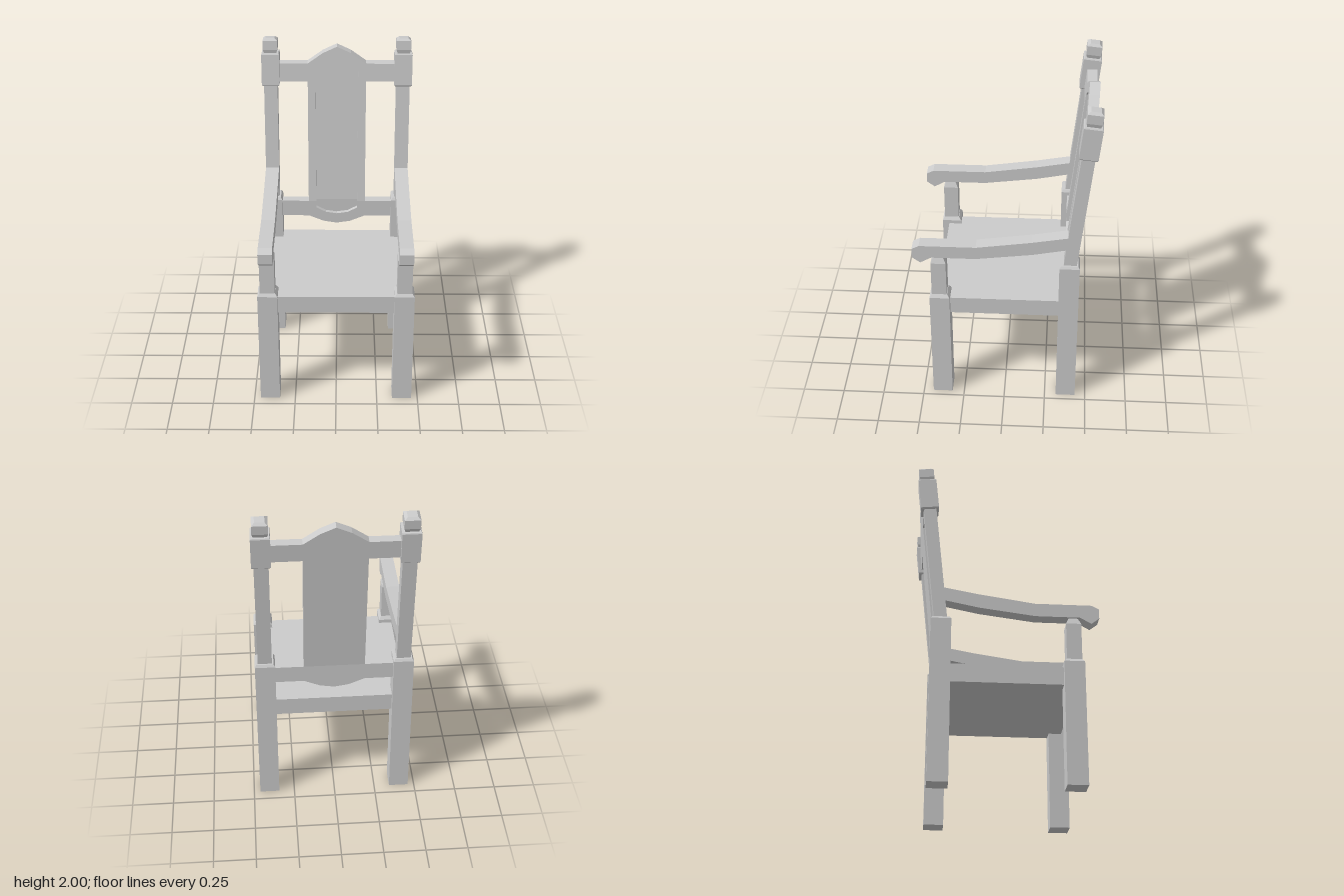
import * as THREE from 'three';

const material = new THREE.MeshStandardMaterial({ color: 0xcccccc, flatShading: true });

function add(parent, name, geometry) {
  const mesh = new THREE.Mesh(geometry, material);
  mesh.name = name;
  parent.add(mesh);
  return mesh;
}

// Square turned piece: levels are [height, width], closed at both ends
function squarePost(levels, depthScale = 1) {
  const pts = levels.map(([y, w]) => new THREE.Vector2(w / Math.SQRT2, y));
  pts.unshift(new THREE.Vector2(0, levels[0][0]));
  pts.push(new THREE.Vector2(0, levels[levels.length - 1][0]));
  const geo = new THREE.LatheGeometry(pts, 4, Math.PI / 4).toNonIndexed();
  geo.scale(1, 1, depthScale);
  geo.computeVertexNormals();
  return geo;
}

const shapeOf = (pts) => new THREE.Shape(pts.map(([x, y]) => new THREE.Vector2(x, y)));

// Mirror a half outline that runs from the right side toward the centre
const mirrored = (half) => [...half, ...half.filter(([x]) => x > 0).reverse().map(([x, y]) => [-x, y])];

// The back stands upright up to BEND, then leans backward
const BEND = 0.952, LEAN = 0.106, BACK = -0.413, THICK = 0.06, RECESS = 0.027;
function backPiece(outline, depth) {
  const geo = new THREE.ExtrudeGeometry(shapeOf(outline), { depth, bevelEnabled: false });
  const p = geo.attributes.position;
  for (let i = 0; i < p.count; i++) {
    p.setZ(i, p.getZ(i) + BACK - LEAN * Math.max(0, p.getY(i) - BEND));
  }
  geo.computeVertexNormals();
  return geo;
}

function createBack() {
  const back = new THREE.Group();
  back.name = 'back';
  const lowArc = [[0.13, 0.905], [0.07, 0.873], [0, 0.862]];
  const highArc = [[0.13, 1.794], [0.07, 1.84], [0, 1.878]];
  const across = (half) => mirrored(half);

  // Lower rail with the curved foot of the frame
  add(back, 'lowerRail', backPiece([
    ...mirrored([[0.38, BEND], [0.38, 0.847], [0.178, 0.847], [0.085, 0.808], [0, 0.794]]),
    [-0.13, BEND], ...across(lowArc).reverse(), [0.13, BEND],
  ], THICK));

  // Upper frame: two stiles, top rail and arched crest
  add(back, 'upperFrame', backPiece([
    [0.13, BEND], [0.178, BEND], [0.178, 1.732],
    ...mirrored([[0.38, 1.732], [0.38, 1.843], [0.178, 1.843], [0.085, 1.908], [0, 1.947]]),
    [-0.178, 1.732], [-0.178, BEND], [-0.13, BEND], ...across(highArc).reverse(),
  ], THICK));

  // Recessed panel, flush with the frame at the rear
  add(back, 'panelLower', backPiece([[0.13, BEND], ...across(lowArc), [-0.13, BEND]], THICK - RECESS));
  add(back, 'panelUpper', backPiece([[0.13, BEND], ...across(highArc), [-0.13, BEND]], THICK - RECESS));
  return back;
}

function createSide(s) {
  const side = new THREE.Group();
  side.name = s > 0 ? 'leftSide' : 'rightSide';
  const x = s * 0.403;

  // Front leg and the arm support standing on it
  add(side, 'frontLeg', squarePost([[0, 0.118], [0.733, 0.118], [0.752, 0.09]])).position.set(x, 0, 0.382);
  add(side, 'armSupport', squarePost([[0.74, 0.088], [0.975, 0.088], [1.025, 0.045]])).position.set(x, 0, 0.384);

  // Back leg
  add(side, 'backLeg', squarePost([[0, 0.118], [0.975, 0.118], [0.99, 0.1]])).position.set(x, 0, -0.378);

  // Leaning back post with block and finial
  const post = new THREE.Group();
  post.name = 'backPost';
  post.position.set(x, 0.97, -0.379);
  post.rotation.x = -0.107;
  add(post, 'postShaft', squarePost([[0, 0.082], [0.75, 0.082]], 0.92));
  add(post, 'postBlock', squarePost([[0.74, 0.094], [0.747, 0.107], [0.937, 0.107], [0.943, 0.1]]));
  add(post, 'finial', squarePost([[0.94, 0.072], [0.965, 0.088], [1.02, 0.088], [1.033, 0.055]]));
  side.add(post);

  // Armrest: side profile (z, y) extruded across its width
  const profile = shapeOf([
    [0.534, 1.074], [0.492, 1.096], [0.164, 1.096], [-0.155, 1.143], [-0.39, 1.186],
    [-0.38, 1.102], [-0.16, 1.058], [0.165, 1.016], [0.423, 1.016], [0.487, 0.979], [0.534, 1.014],
  ]);
  const arm = new THREE.ExtrudeGeometry(profile, { depth: 0.082, bevelEnabled: false });
  arm.translate(0, 0, -0.041);
  arm.rotateY(-Math.PI / 2);
  add(side, 'armrest', arm).position.x = x;
  return side;
}

export function createModel() {
  const chair = new THREE.Group();
  chair.name = 'armchair';

  // Seat slab let into the four legs
  add(chair, 'seat', new THREE.BoxGeometry(0.85, 0.11, 0.808)).position.set(0, 0.655, -0.004);

  chair.add(createBack(), createSide(1), createSide(-1));
  return chair;
}
